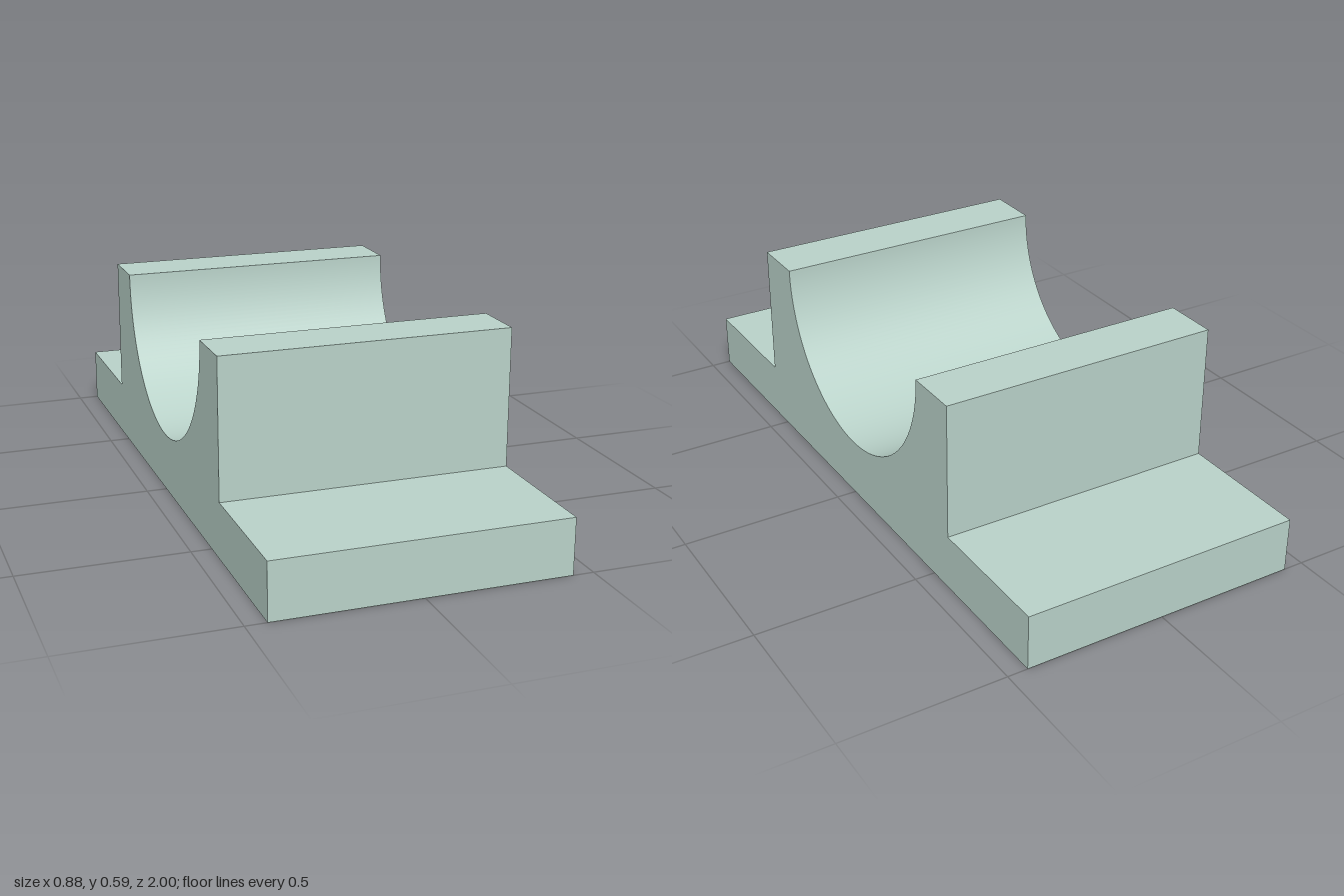
import * as THREE from 'three';
import { toCreasedNormals } from 'three/addons/utils/BufferGeometryUtils.js';

const WIDTH = 0.876;          // along x
const HALF_LENGTH = 1;        // along z
const FLANGE_HEIGHT = 0.17;
const BLOCK_HALF = 0.58;
const BLOCK_HEIGHT = 0.59;
const BORE_RADIUS = 0.41;

export function createModel() {
  const group = new THREE.Group();
  group.name = 'bearingCradle';

  // Side profile: flanged base, raised block, half-round channel in the top
  const profile = new THREE.Shape();
  profile.moveTo(-HALF_LENGTH, 0);
  profile.lineTo(HALF_LENGTH, 0);
  profile.lineTo(HALF_LENGTH, FLANGE_HEIGHT);
  profile.lineTo(BLOCK_HALF, FLANGE_HEIGHT);
  profile.lineTo(BLOCK_HALF, BLOCK_HEIGHT);
  profile.absarc(0, BLOCK_HEIGHT, BORE_RADIUS, 0, Math.PI, true);
  profile.lineTo(-BLOCK_HALF, BLOCK_HEIGHT);
  profile.lineTo(-BLOCK_HALF, FLANGE_HEIGHT);
  profile.lineTo(-HALF_LENGTH, FLANGE_HEIGHT);
  profile.closePath();

  // Extrude across the width, then turn the profile into the z-y plane
  const extruded = new THREE.ExtrudeGeometry(profile, {
    depth: WIDTH, bevelEnabled: false, curveSegments: 48,
  });
  extruded.translate(0, 0, -WIDTH / 2);
  extruded.rotateY(-Math.PI / 2);

  // Smooth channel, sharp edges elsewhere
  const cradle = new THREE.Mesh(
    toCreasedNormals(extruded, Math.PI / 6),
    new THREE.MeshStandardMaterial({ color: 0xb9d2c9 }),
  );
  cradle.name = 'cradleBlock';
  group.add(cradle);
  return group;
}
